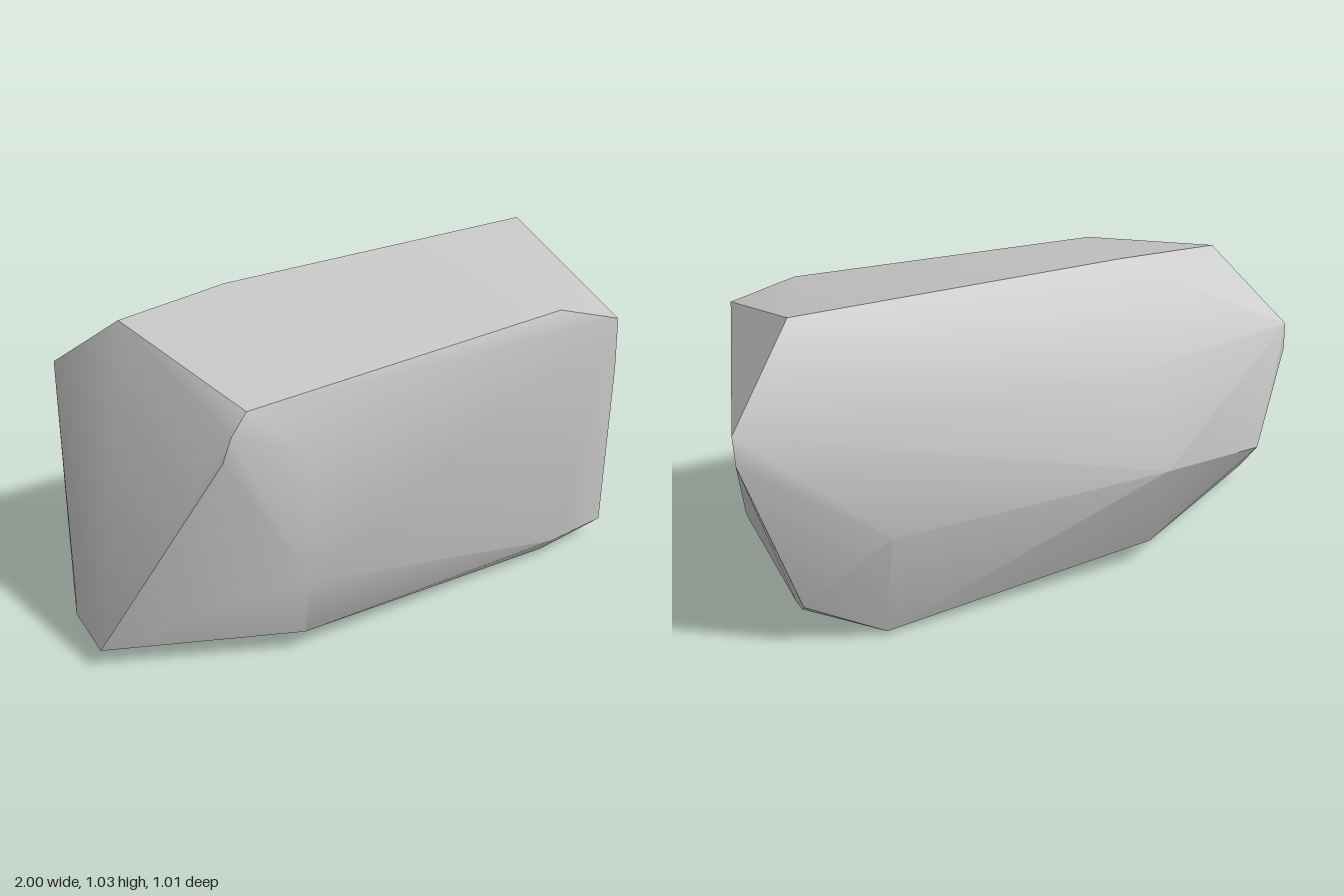
import * as THREE from 'three';
import { ConvexGeometry } from 'three/addons/geometries/ConvexGeometry.js';
import { toCreasedNormals } from 'three/addons/utils/BufferGeometryUtils.js';

// Corners of the boulder, grouped by the side they belong to
const corners = {
  topRidge: [[-0.73, 1.01, -0.12], [-0.36, 1.035, -0.155], [0.76, 1.035, -0.155]],
  frontTop: [[0.79, 0.88, 0.4], [0.58, 0.945, 0.365], [-0.54, 0.9, 0.39], [-0.6, 0.84, 0.41], [-0.63, 0.76, 0.41]],
  frontBelly: [[0.81, 0.68, 0.39], [-0.37, 0.73, 0.45], [-0.4, 0.31, 0.505]],
  frontBottom: [[0.81, 0.07, 0.395], [0.58, 0.075, 0.43], [-0.4, 0.078, 0.457]],
  rightEnd: [[-1, 0.065, 0.22], [-1, 0.04, -0.02], [-1, 0.13, 0], [-0.88, 0.79, -0.36], [-0.88, 0.7, -0.365]],
  leftEnd: [[1, 0.79, -0.345], [1, 0.7, -0.36], [0.83, 0.15, -0.34], [0.815, 0.09, -0.265], [0.81, 0.065, -0.18]],
  back: [[-0.73, 0.41, -0.47], [-0.36, 0.425, -0.505], [0.58, 0.405, -0.47], [-0.36, 0.75, -0.39]],
  base: [[0.58, 0, 0.37], [0.58, 0, -0.33], [0.58, 0.015, -0.39], [-0.48, 0.012, 0.26], [-0.38, 0.09, -0.39]],
};

export function createModel() {
  const group = new THREE.Group();
  group.name = 'rock';

  const stone = new THREE.MeshStandardMaterial({ color: 0xc5c5c5 });
  stone.name = 'grey stone';

  // Convex stone, soft across shallow edges and sharp across steep ones
  const points = Object.values(corners).flat().map((p) => new THREE.Vector3(...p));
  const geometry = toCreasedNormals(new ConvexGeometry(points), 0.52);
  const boulder = new THREE.Mesh(geometry, stone);
  boulder.name = 'boulder';
  group.add(boulder);

  return group;
}
